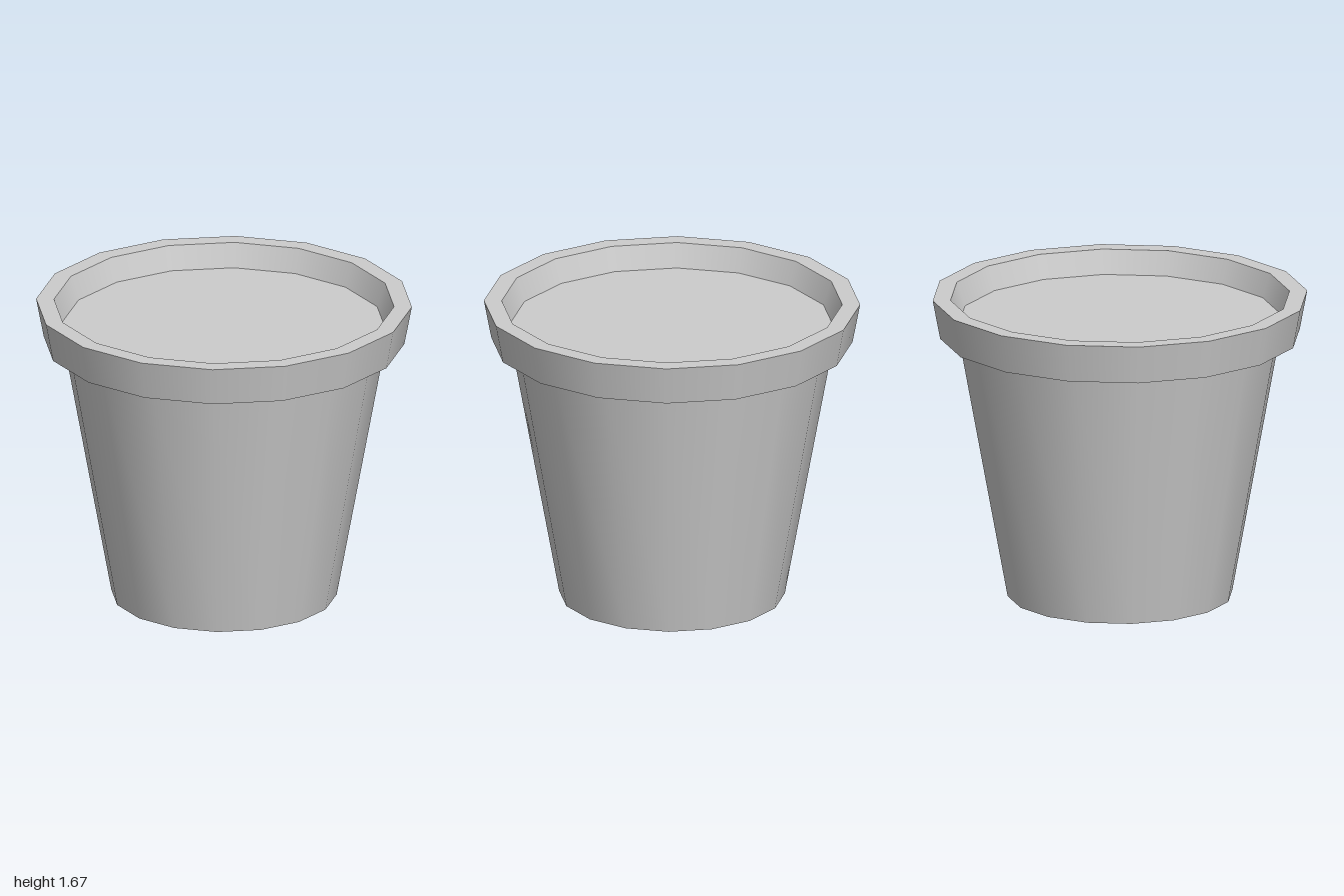
import * as THREE from 'three';

const SIDES = 16;
const TO_CORNER = 1 / Math.cos(Math.PI / SIDES); // flat-to-flat radius -> corner radius

export function createModel() {
  const group = new THREE.Group();
  group.name = 'flowerPot';
  const clay = new THREE.MeshStandardMaterial({ color: 0xcccccc });
  const filling = new THREE.MeshStandardMaterial({ color: 0xcccccc, side: THREE.DoubleSide });

  // One band of the profile: smooth around, sharp where it meets the next band
  function band(name, from, to, material = clay) {
    const points = [from, to].map(([r, y]) => new THREE.Vector2(r * TO_CORNER, y));
    const mesh = new THREE.Mesh(new THREE.LatheGeometry(points, SIDES, Math.PI / SIDES), material);
    mesh.name = name;
    group.add(mesh);
  }

  // Profile corners as [flat radius, height]
  const innerTop = [0.78, 1.545];
  const innerFoot = [0.505, 0];
  const outerFoot = [0.6, 0];
  const neck = [0.86, 1.46];
  const rimBottom = [0.96, 1.46];
  const rimTop = [1, 1.675];
  const rimInner = [0.905, 1.675];
  const soilEdge = [0.86, 1.545];

  // Hollow tapered body, open at the bottom
  band('innerWall', innerTop, innerFoot);
  band('footRing', innerFoot, outerFoot);
  band('outerWall', outerFoot, neck);

  // Collar around the top
  band('rimUnderside', neck, rimBottom);
  band('rimOuterWall', rimBottom, rimTop);
  band('rimTop', rimTop, rimInner);
  band('rimInnerWall', rimInner, soilEdge);

  // Soil surface recessed in the rim
  band('soil', soilEdge, [0, 1.545], filling);

  return group;
}
